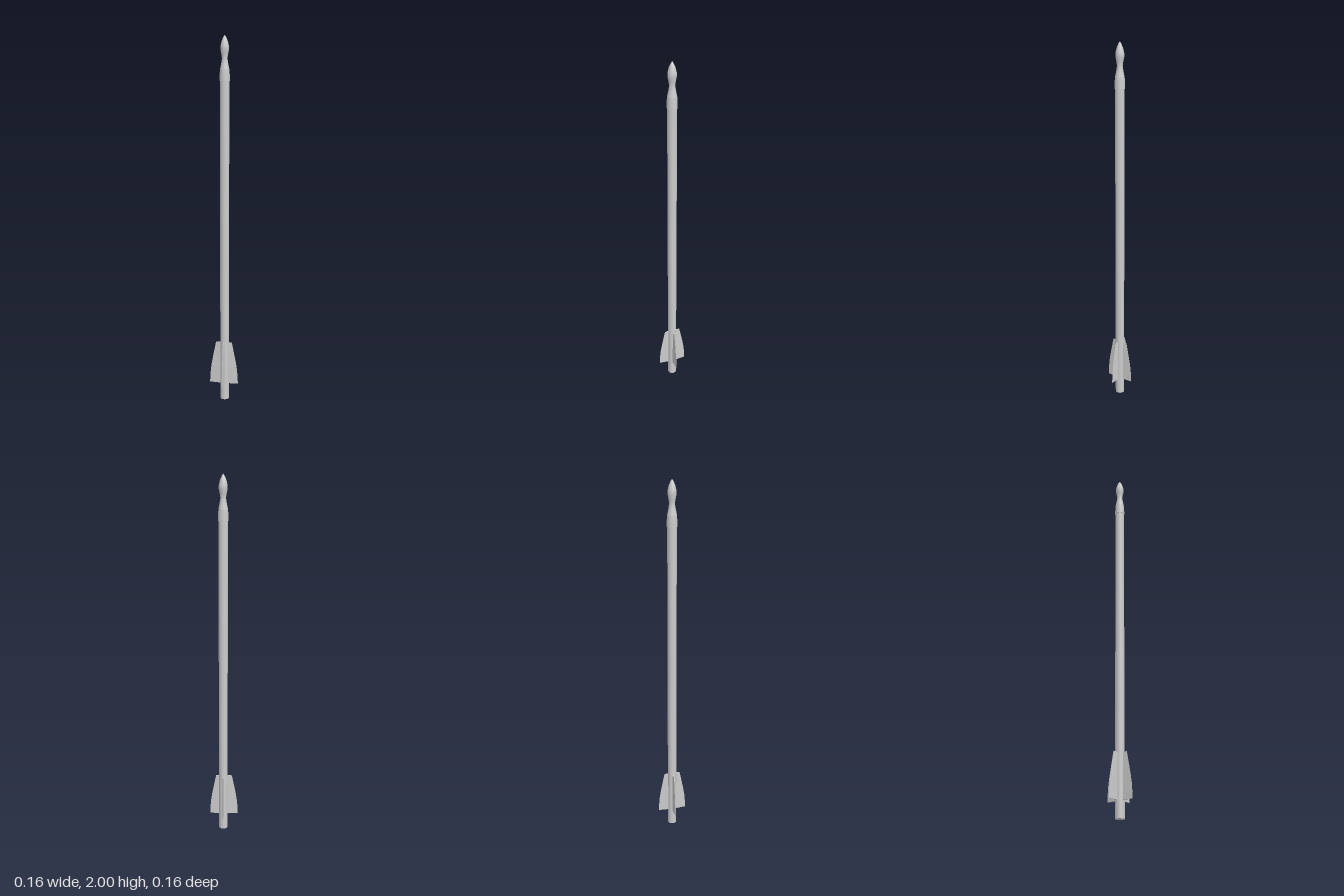
import * as THREE from 'three';

const material = new THREE.MeshStandardMaterial({ color: 0xcccccc });
const finMaterial = new THREE.MeshStandardMaterial({ color: 0xcccccc, flatShading: true, side: THREE.DoubleSide });

// Outer edge of a fin: distance from the shaft axis at a fraction of its height
const finEdge = new THREE.SplineCurve([[0.08, 0], [0.075, 0.33], [0.061, 0.67], [0.045, 1]]
  .map(([r, t]) => new THREE.Vector2(r, t)));

// Wedge-shaped fin, thick at the shaft and thin at the outer edge
function createFin(extra) {
  const bottom = 0.09, height = 0.24, inner = 0.018;
  const geometry = new THREE.BoxGeometry(1, 1, 1, 1, 6, 1);
  const p = geometry.attributes.position;
  for (let i = 0; i < p.count; i++) {
    const edge = finEdge.getPoint(p.getY(i) + 0.5);
    const outside = p.getX(i) > 0;
    p.setXYZ(i,
      outside ? edge.x + extra : inner,
      bottom + edge.y * height,
      Math.sign(p.getZ(i)) * (outside ? 0.0006 : 0.005));
  }
  geometry.computeVertexNormals();
  return new THREE.Mesh(geometry, finMaterial);
}

export function createModel() {
  const model = new THREE.Group();
  model.name = 'arrow';
  const arrow = new THREE.Group();
  arrow.name = 'arrowBody';
  arrow.position.x = 0.004;
  model.add(arrow);

  // Shaft
  const shaft = new THREE.Mesh(new THREE.CylinderGeometry(0.0245, 0.0245, 1.8, 24), material);
  shaft.name = 'shaft';
  shaft.position.y = 0.9;
  arrow.add(shaft);

  // Pointed head with a bulge and a narrow neck
  const headProfile = [[0.0245, 1.825], [0.0185, 1.855], [0.0145, 1.88], [0.0175, 1.9],
    [0.0225, 1.925], [0.0225, 1.943], [0.0165, 1.968], [0.008, 1.988], [0, 2]];
  const head = new THREE.Mesh(
    new THREE.LatheGeometry(headProfile.map(([r, y]) => new THREE.Vector2(r, y)), 24), material);
  head.name = 'arrowhead';
  arrow.add(head);

  // Socket sleeve around the end of the shaft, with a small step below
  const socketProfile = [[0.022, 1.765], [0.027, 1.765], [0.027, 1.765], [0.0265, 1.8], [0.0245, 1.825]];
  const socket = new THREE.Mesh(
    new THREE.LatheGeometry(socketProfile.map(([r, y]) => new THREE.Vector2(r, y)), 24), material);
  socket.name = 'headSocket';
  arrow.add(socket);

  // Four fins around the tail
  const fins = [['leftFin', -0.004], ['backFin', 0], ['rightFin', 0.004], ['frontFin', 0]];
  fins.forEach(([name, extra], i) => {
    const fin = createFin(extra);
    fin.name = name;
    fin.rotation.y = i * Math.PI / 2;
    arrow.add(fin);
  });

  return model;
}
